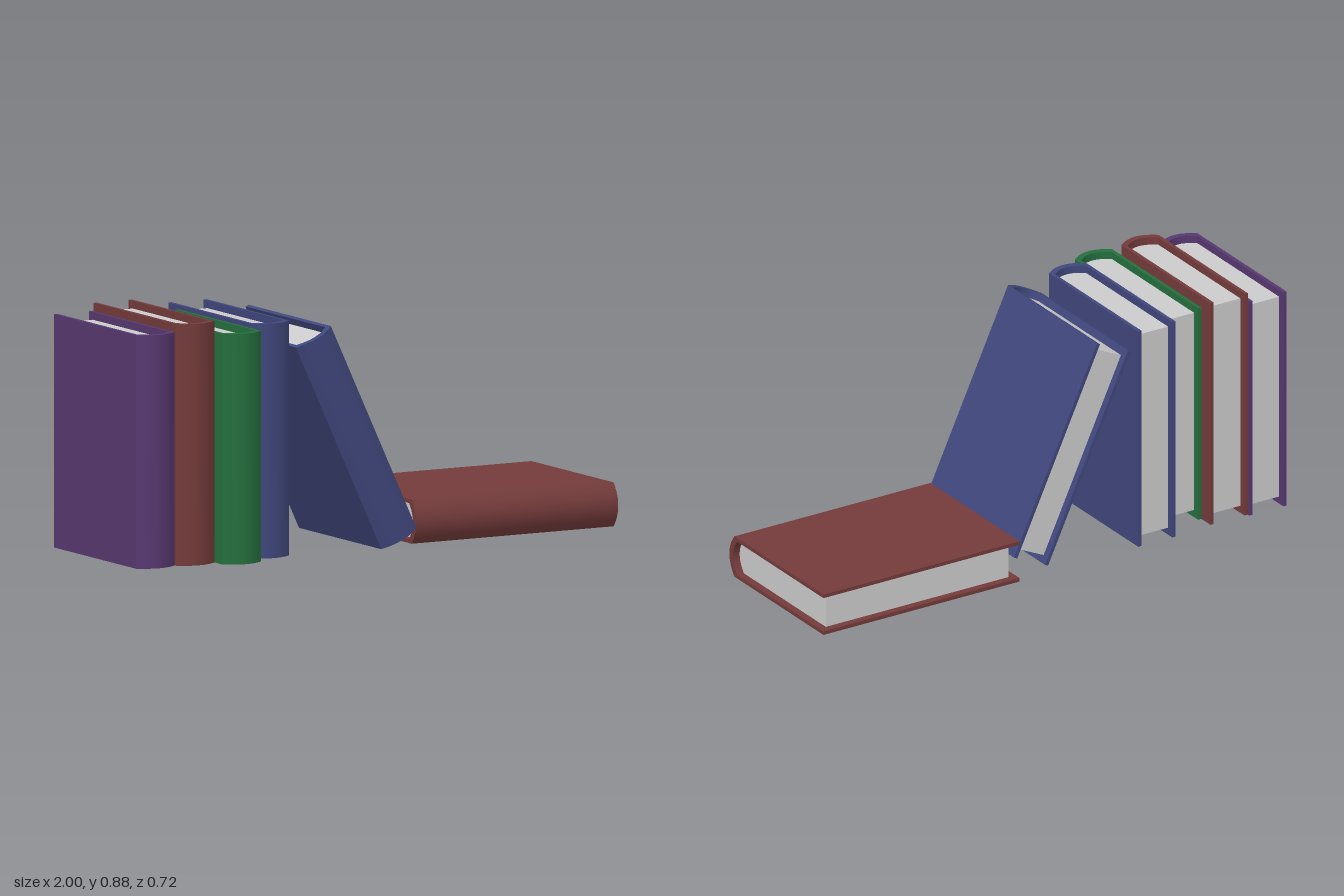
import * as THREE from 'three';
import { toCreasedNormals } from 'three/addons/utils/BufferGeometryUtils.js';

const W = 0.16, DEPTH = 0.625, BOARD = 0.014, INSET = 0.028, BULGE = 0.033;

// Points of a bowed edge from x = -half to x = +half, peaking at z = peak
function bow(half, peak, bulge, n = 12) {
  const pts = [];
  for (let i = 0; i <= n; i++) {
    const t = (i / n) * 2 - 1;
    pts.push(new THREE.Vector2(t * half, peak - bulge * t * t));
  }
  return pts;
}

// Extrudes an x/z outline upwards from y0 to y1
function upright(points, y0, y1) {
  const geo = new THREE.ExtrudeGeometry(new THREE.Shape(points), { depth: y1 - y0, bevelEnabled: false });
  geo.rotateX(Math.PI / 2).translate(0, y1, 0);
  return toCreasedNormals(geo, 0.5);
}

// A book standing on y = 0 with its bowed spine peaking at z = 0
function book(name, color, height) {
  const g = new THREE.Group();
  g.name = name;
  const h = W / 2, inner = h - BOARD;

  // U-shaped cover: two boards joined by the spine
  const outline = [
    new THREE.Vector2(-h, -DEPTH),
    ...bow(h, 0, BULGE),
    new THREE.Vector2(h, -DEPTH),
    new THREE.Vector2(inner, -DEPTH),
    ...bow(inner, -0.024, 0.028).reverse(),
    new THREE.Vector2(-inner, -DEPTH),
  ];
  const cover = new THREE.Mesh(upright(outline, 0, height), new THREE.MeshStandardMaterial({ color }));
  cover.name = 'cover';

  // Page block, set back from the cover on three sides
  const block = [
    new THREE.Vector2(-inner, -DEPTH + INSET),
    ...bow(inner, -0.025, 0.028),
    new THREE.Vector2(inner, -DEPTH + INSET),
  ];
  const pages = new THREE.Mesh(
    upright(block, INSET, height - INSET),
    new THREE.MeshStandardMaterial({ color: 0xcccccc })
  );
  pages.name = 'pages';
  g.add(cover, pages);
  return g;
}

export function createModel() {
  const model = new THREE.Group();
  model.name = 'books';
  const purple = 0x573870, red = 0x743b3b, green = 0x256f3e, blue = 0x40477c;

  // Standing row: name, colour, height, spine z
  [
    ['purpleBook', purple, 0.85, 0.288],
    ['redBook', red, 0.88, 0.298],
    ['greenBook', green, 0.84, 0.358],
    ['blueBook', blue, 0.855, 0.282],
  ].forEach(([name, color, height, z], i) => {
    const b = book(name, color, height);
    b.position.set(-0.92 + i * W, 0, z);
    model.add(b);
  });

  // Book leaning against the row, resting on its lower corner
  const tilt = THREE.MathUtils.degToRad(25);
  const leaning = book('leaningBook', blue, 0.84);
  leaning.rotation.z = tilt;
  leaning.position.set((W / 2) * Math.cos(tilt), (W / 2) * Math.sin(tilt), 0.323);
  model.add(leaning);

  // Book lying flat
  const lying = book('lyingBook', red, 0.84);
  lying.rotation.z = -Math.PI / 2;
  lying.position.set(0.16, W / 2, 0.265);
  model.add(lying);

  return model;
}
